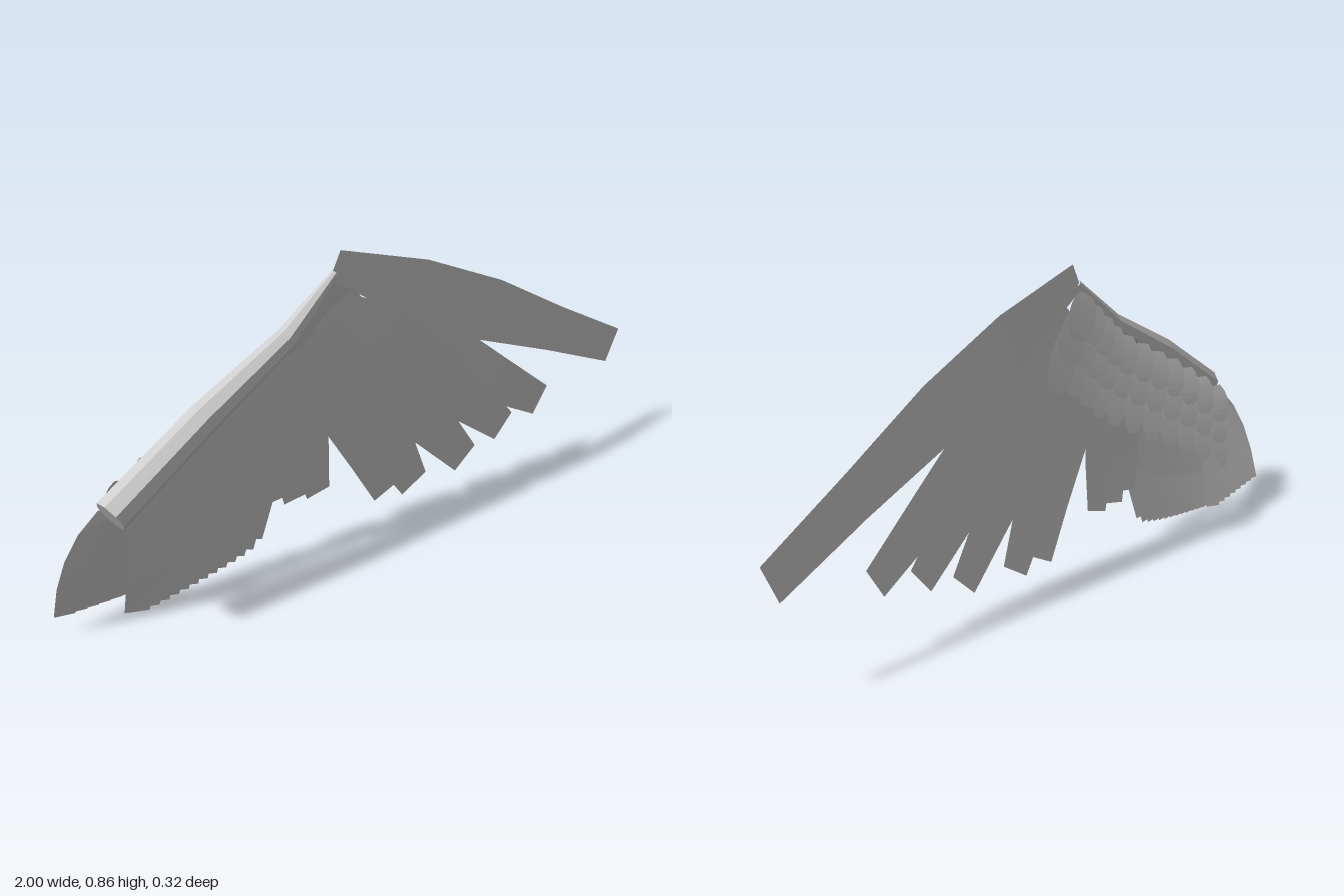
import * as THREE from 'three';

const grey = new THREE.MeshStandardMaterial({ color: 0xcccccc, flatShading: true, side: THREE.DoubleSide });
const V = (x, y, z) => new THREE.Vector3(x, y, z);
const lerp = THREE.MathUtils.lerp;

// Skin consecutive cross-sections (arrays of Vector3 of equal length)
function skin(sections, closed) {
  const n = sections[0].length, pos = [], idx = [];
  sections.forEach(s => s.forEach(p => pos.push(p.x, p.y, p.z)));
  for (let i = 0; i < sections.length - 1; i++) {
    for (let j = 0; j < (closed ? n : n - 1); j++) {
      const k = (j + 1) % n, a = i * n, b = a + n;
      idx.push(a + j, a + k, b + j, a + k, b + k, b + j);
    }
  }
  if (closed) {
    const last = (sections.length - 1) * n;
    for (let j = 1; j < n - 1; j++) {
      idx.push(0, j + 1, j, last, last + j, last + j + 1);
    }
  }
  const g = new THREE.BufferGeometry();
  g.setAttribute('position', new THREE.Float32BufferAttribute(pos, 3));
  g.setIndex(idx);
  g.computeVertexNormals();
  return g;
}

// Thin blade along a bent centre line; widths run from root to tip
function feather(name, root, bend, tip, widths, tilt = 0) {
  const curve = new THREE.QuadraticBezierCurve3(root, bend, tip);
  const sections = widths.map((w, i) => {
    const t = i / (widths.length - 1);
    const p = curve.getPoint(t), d = curve.getTangent(t);
    const side = V(-d.y, d.x, 0).normalize();
    side.z = tilt;
    return [p.clone().addScaledVector(side, -w / 2), p.clone().addScaledVector(side, w / 2)];
  });
  const m = new THREE.Mesh(skin(sections, false), grey);
  m.name = name;
  return m;
}

const mid = (a, b, x = 0, y = 0, z = 0) => a.clone().add(b).multiplyScalar(0.5).add(V(x, y, z));

function group(name, parent) {
  const g = new THREE.Group();
  g.name = name;
  parent.add(g);
  return g;
}

// Arm centre line from the elbow to the wrist
const armPoints = [V(-0.88, 0.37, 0.118), V(-0.6, 0.535, 0.07), V(-0.33, 0.672, 0.022), V(-0.165, 0.81, -0.002)];
const armRadii = [0.047, 0.043, 0.031, 0.011];

function alongArm(u) {
  const s = Math.min(u * 3, 2.9999), i = Math.floor(s);
  return armPoints[i].clone().lerp(armPoints[i + 1], s - i);
}

function buildArm() {
  const rings = armPoints.map((p, i) => {
    const d = armPoints[Math.min(i + 1, 3)].clone().sub(armPoints[Math.max(i - 1, 0)]).normalize();
    const a = V(-d.y, d.x, 0).normalize(), b = d.clone().cross(a);
    return Array.from({ length: 8 }, (_, j) => {
      const t = (j + 0.5) / 8 * Math.PI * 2;
      return p.clone()
        .addScaledVector(a, Math.cos(t) * armRadii[i])
        .addScaledVector(b, Math.sin(t) * armRadii[i]);
    });
  });
  const m = new THREE.Mesh(skin(rings, true), grey);
  m.name = 'arm';
  return m;
}

export function createModel() {
  const wing = new THREE.Group();
  wing.name = 'wing';
  wing.add(buildArm());

  // Primaries: root x, y and tip x, y, z, from the longest inward
  const primaries = group('primaryFeathers', wing);
  [
    [-0.16, 0.83, 0.975, 0.30, -0.163],
    [-0.15, 0.71, 0.655, 0.20, -0.130],
    [-0.15, 0.72, 0.50, 0.157, -0.115],
    [-0.20, 0.70, 0.345, 0.097, -0.100],
    [-0.21, 0.67, 0.148, 0.075, -0.085],
    [-0.23, 0.66, 0.050, 0.082, -0.080],
    [-0.31, 0.62, -0.195, 0.155, -0.060],
    [-0.35, 0.61, -0.27, 0.160, -0.055],
    [-0.39, 0.59, -0.335, 0.180, -0.045],
  ].forEach(([rx, ry, tx, ty, tz], i) => {
    const root = V(rx, ry, -0.008 + i * 0.002), tip = V(tx, ty, tz);
    const widths = i < 6
      ? [0.08, 0.17, 0.185, 0.14, i ? 0.098 : 0.112]
      : [0.09, 0.15, 0.14, 0.11, 0.075];
    primaries.add(feather('primaryFeather', root, mid(root, tip, 0, 0, 0.015), tip, widths));
  });

  // Secondaries hanging below the arm
  const secondaries = group('secondaryFeathers', wing);
  for (let i = 0; i < 13; i++) {
    const u = i / 12;
    const root = V(lerp(-0.37, -0.80, u), lerp(0.62, 0.39, u), lerp(0.02, 0.068, u));
    const tip = V(lerp(-0.42, -0.785, u), lerp(0.085, 0.012, Math.sqrt(u)), lerp(-0.045, 0.005, u));
    secondaries.add(feather('secondaryFeather', root, mid(root, tip, 0.035, 0, 0.012), tip,
      [0.05, 0.075, 0.085, 0.08, 0.068], 0.08));
  }

  // Tertials at the elbow, fanned behind the secondaries
  const tertials = group('tertialFeathers', wing);
  for (let i = 0; i < 8; i++) {
    const u = i / 7;
    const root = V(lerp(-0.87, -0.77, u), lerp(0.35, 0.40, u), lerp(0.06, 0.035, u));
    const tip = V(lerp(-0.972, -0.73, u), lerp(0.058, 0.035, u), lerp(-0.012, -0.055, u));
    tertials.add(feather('tertialFeather', root, mid(root, tip, lerp(-0.04, 0, u), 0.03, 0.008), tip,
      [0.04, 0.06, 0.065, 0.062, 0.055], 0.08));
  }

  // Three overlapping rows of rounded coverts on the back
  const coverts = group('covertFeathers', wing);
  [[0.02, 0.11], [0.075, 0.125], [0.13, 0.15]].forEach(([drop, length], r) => {
    for (let i = 0; i < 11; i++) {
      const u = lerp(0.1, 0.98, i / 10);
      const p = alongArm(u);
      const angle = lerp(-0.08, 0.6, u);
      const dir = V(Math.sin(angle), -Math.cos(angle), 0);
      const root = p.clone().addScaledVector(dir, drop);
      root.z = lerp(0.05, -0.012, u) - 0.01 * (3 - r) - drop * 0.17;
      const tip = root.clone().addScaledVector(dir, length * (u > 0.9 ? 1.2 : 1));
      tip.z -= length * 0.17 + 0.01;
      const k = u > 0.9 ? 1.2 : 1;
      coverts.add(feather('covertFeather', root, mid(root, tip, 0, 0, -0.006), tip,
        [0.045, 0.07, 0.082, 0.085, 0.08, 0.066, 0.035].map(w => w * k), 0.1));
    }
  });

  return wing;
}
